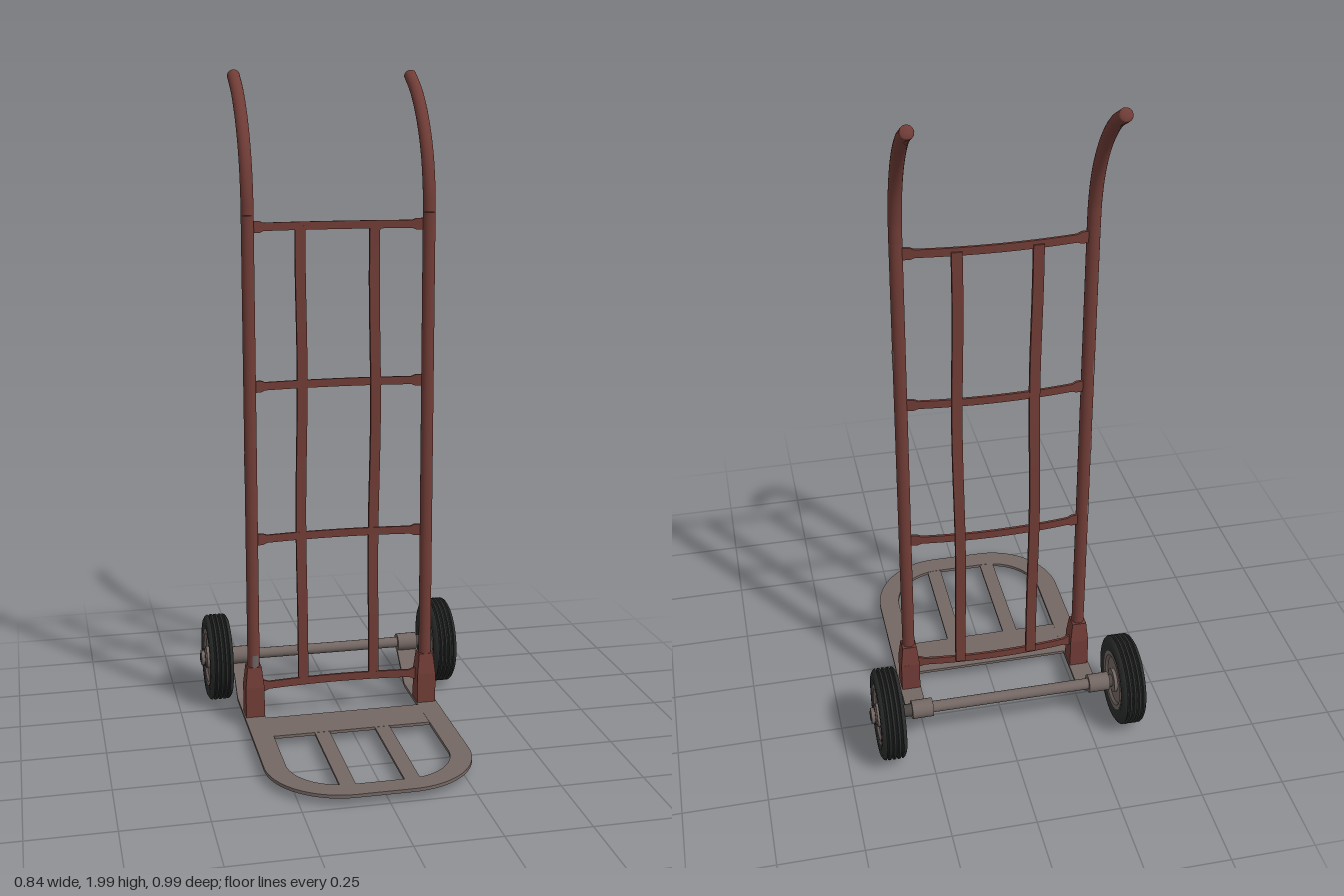
import * as THREE from 'three';
import { toCreasedNormals } from 'three/addons/utils/BufferGeometryUtils.js';

const mat = (name, color) => {
  const m = new THREE.MeshStandardMaterial({ color });
  m.name = name;
  return m;
};

export function createModel() {
  const red = mat('rust red paint', 0x703c36);
  const steel = mat('worn steel', 0x736763);
  const darkSteel = mat('dark steel', 0x4c4643);
  const rubber = mat('black rubber', 0x2b2c2c);
  const chip = mat('chipped paint', 0x6a6260);

  const root = new THREE.Group();
  root.name = 'handTruck';
  const frame = new THREE.Group();
  frame.name = 'frame';
  frame.position.x = -0.011;
  root.add(frame);

  const add = (parent, name, geo, material, x = 0, y = 0, z = 0) => {
    const m = new THREE.Mesh(geo, material);
    m.name = name;
    m.position.set(x, y, z);
    parent.add(m);
    return m;
  };
  // Move the vertices of a geometry by a rule
  const bend = (geo, rule) => {
    const p = geo.attributes.position, v = new THREE.Vector3();
    for (let i = 0; i < p.count; i++) {
      rule(v.fromBufferAttribute(p, i));
      p.setXYZ(i, v.x, v.y, v.z);
    }
    geo.computeVertexNormals();
    return toCreasedNormals(geo, 0.6);
  };

  const postX = 0.274, postZ = -0.12, postR = 0.019;

  // Posts that sweep back into the handles
  const handle = new THREE.CatmullRomCurve3([
    [1.58, -0.12], [1.65, -0.124], [1.75, -0.149], [1.85, -0.204], [1.93, -0.279], [1.979, -0.357],
  ].map(([y, z]) => new THREE.Vector3(0, y, z)));
  for (const s of [-1, 1]) {
    add(frame, 'post', new THREE.CylinderGeometry(postR, postR, 1.55, 20, 1), red, s * postX, 0.805, postZ);
    add(frame, 'handle', new THREE.TubeGeometry(handle, 28, postR, 20), red, s * postX);
    const cap = add(frame, 'handleEnd', new THREE.SphereGeometry(postR, 20, 10), red, s * postX, 1.979, -0.357);
    cap.scale.z = 0.35;
    cap.rotation.x = 0.56;

    // Socket: square box with a tapered collar
    add(frame, 'socket', new THREE.BoxGeometry(0.058, 0.1, 0.06), red, s * postX, 0.078, postZ - 0.002);
    const collar = bend(new THREE.BoxGeometry(0.058, 0.065, 0.06), (v) => {
      if (v.y > 0) { v.x *= 0.76; v.z *= 0.72; }
    });
    add(frame, 'socketCollar', collar, red, s * postX, 0.16, postZ - 0.002);
  }

  // Bowed crossbars with flared ends
  for (const y of [0.12, 0.595, 1.07, 1.545]) {
    const bar = bend(new THREE.BoxGeometry(0.53, 0.024, 0.008, 40, 1, 1), (v) => {
      const t = v.x / 0.265;
      if (Math.abs(v.x) > 0.232) v.y *= 1.45;
      v.z += -0.145 + 0.02 * t * t;
    });
    add(frame, 'crossbar', bar, red, 0, y, 0);
  }

  // Slightly wavy upright slats
  for (const [x, phase] of [[-0.114, 0], [0.113, 0.8]]) {
    const slat = bend(new THREE.BoxGeometry(0.031, 1.43, 0.013, 1, 24, 1), (v) => {
      const t = v.y / 0.715, bow = 1 - t * t;
      v.x += 0.004 * Math.sin(t * 4 + phase) * bow;
      v.z -= 0.004 * bow * Math.cos(t * 5 + phase);
    });
    add(frame, 'uprightSlat', slat, red, x, 0.83, -0.144);
  }

  // Chipped patches on the posts: [side, height, angle, length]
  for (const [s, y, a, h] of [[1, 1.23, 1.2, 0.04], [-1, 1.13, 3.7, 0.05], [-1, 0.86, 3.9, 0.06],
    [-1, 0.63, 3.7, 0.04], [-1, 0.21, -0.3, 0.04]]) {
    const patch = new THREE.CylinderGeometry(postR + 0.001, postR + 0.001, h, 6, 1, true, a, 1);
    add(frame, 'paintChip', patch, chip, s * postX, y, postZ);
  }

  // Toe plate: U-shaped rim, drawn with -z as the shape's y
  const W = 0.307, w = 0.243, back = 0.245;
  const rim = new THREE.Shape();
  rim.moveTo(-W, back);
  rim.lineTo(-W, -0.265);
  rim.absarc(-W + 0.225, -0.265, 0.225, Math.PI, Math.PI * 1.5, false);
  rim.absarc(W - 0.225, -0.265, 0.225, Math.PI * 1.5, Math.PI * 2, false);
  rim.lineTo(W, back);
  rim.lineTo(w, back);
  rim.lineTo(w, -0.265);
  rim.absarc(w - 0.16, -0.265, 0.16, 0, -Math.PI / 2, true);
  rim.absarc(-w + 0.16, -0.265, 0.16, -Math.PI / 2, -Math.PI, true);
  rim.lineTo(-w, back);
  rim.closePath();
  const plate = new THREE.ExtrudeGeometry(rim, { depth: 0.01, bevelEnabled: false, curveSegments: 16 });
  plate.rotateX(-Math.PI / 2);
  add(frame, 'toePlateRim', plate, steel, 0, 0.023, 0);
  add(frame, 'toePlateCross', new THREE.BoxGeometry(2 * w + 0.004, 0.009, 0.14), steel, 0, 0.028, -0.01);
  for (const x of [-0.094, 0.093]) {
    add(frame, 'toePlateSlat', new THREE.BoxGeometry(0.046, 0.008, 0.37), steel, x, 0.028, 0.243);
  }

  // Arms that bend up from the plate to the axle, with a sleeve at the end
  const arm = new THREE.Shape();
  arm.moveTo(0.235, 0.023);
  arm.lineTo(0.25, 0.023);
  arm.quadraticCurveTo(0.262, 0.024, 0.272, 0.035);
  arm.lineTo(0.375, 0.122);
  arm.lineTo(0.368, 0.13);
  arm.lineTo(0.265, 0.043);
  arm.quadraticCurveTo(0.257, 0.034, 0.248, 0.033);
  arm.lineTo(0.235, 0.033);
  arm.closePath();
  const armGeo = new THREE.ExtrudeGeometry(arm, { depth: W - w, bevelEnabled: false, curveSegments: 6 });
  armGeo.rotateY(Math.PI / 2);
  const axleY = 0.138, axleZ = -0.36;
  const rod = (parent, name, r, len, sides, material, x) => {
    const m = add(parent, name, new THREE.CylinderGeometry(r, r, len, sides), material, x, axleY, axleZ);
    m.rotation.z = Math.PI / 2;
    return m;
  };
  for (const s of [-1, 1]) {
    add(frame, 'axleArm', armGeo, steel, s > 0 ? w : -W, 0, 0);
    rod(frame, 'axleSleeve', 0.028, W - w, 20, steel, s * (W + w) / 2);
  }

  // Axle
  rod(root, 'axle', 0.017, 0.8, 20, steel, 0);

  // Wheels
  const pts = (list) => list.map(([r, y]) => new THREE.Vector2(r, y));
  const tread = [];
  for (const y of [-0.021, -0.007, 0.007, 0.021]) {
    tread.push([0.137, y - 0.004], [0.131, y - 0.0015], [0.131, y + 0.0015], [0.137, y + 0.004]);
  }
  const lathe = (list) => toCreasedNormals(new THREE.LatheGeometry(pts(list), 40), 0.55);
  const tyreGeo = lathe([[0.088, -0.02], [0.09, -0.033], [0.108, -0.0375], [0.124, -0.0365], [0.133, -0.031],
    ...tread, [0.133, 0.031], [0.124, 0.0365], [0.108, 0.0375], [0.09, 0.033], [0.088, 0.02]]);
  const hubGeo = lathe([[0, -0.027], [0.07, -0.027], [0.078, -0.034], [0.091, -0.034],
    [0.091, 0.034], [0.078, 0.034], [0.07, 0.027], [0, 0.027]]);
  for (const s of [-1, 1]) {
    const wheel = new THREE.Group();
    wheel.name = 'wheel';
    root.add(wheel);
    const x = s * 0.367;
    add(wheel, 'tyre', tyreGeo, rubber, x, axleY, axleZ).rotation.z = Math.PI / 2;
    add(wheel, 'hub', hubGeo, steel, x, axleY, axleZ).rotation.z = Math.PI / 2;
    rod(wheel, 'hubBoss', 0.036, 0.074, 24, steel, x);
    rod(wheel, 'washer', 0.03, 0.006, 24, darkSteel, s * 0.406);
    rod(wheel, 'axleNut', 0.024, 0.014, 6, steel, s * 0.413);
    rod(wheel, 'axleEnd', 0.014, 0.02, 16, darkSteel, s * 0.412);
    rod(wheel, 'spacer', 0.019, 0.035, 16, darkSteel, s * 0.314);
  }
  return root;
}
